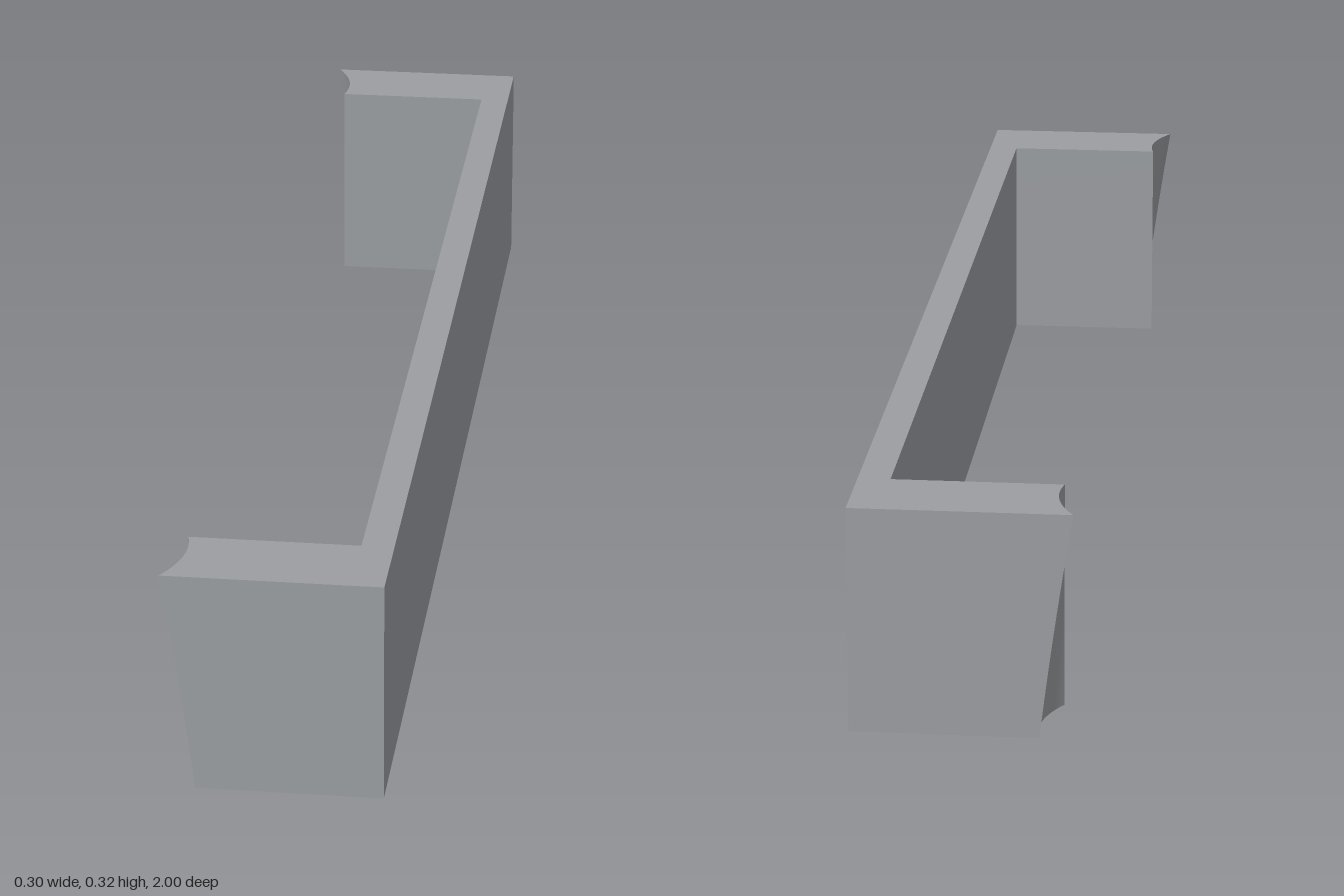
import * as THREE from 'three';
import { toCreasedNormals } from 'three/addons/utils/BufferGeometryUtils.js';

const HEIGHT = 0.32;
const OUTER_X = 0.152; // flat outer face of the panel
const PANEL = 0.045; // panel thickness
const LEG = 0.122; // leg thickness along z

// x of the hollow leg tip: u runs 0 (outer edge) to 1 (inner edge), v from bottom to top
function tipX(u, v) {
  const outer = -0.107 - 0.045 * v + 0.008 * v * (1 - v);
  const inner = -0.13;
  return outer + (inner - outer) * u + 0.013 * 4 * u * (1 - u);
}

// Leg block whose free end is scooped out by the tip rule
function legGeometry(side) {
  const geometry = new THREE.BoxGeometry(1, HEIGHT, LEG, 1, 10, 16);
  geometry.translate(0, HEIGHT / 2, side * (1 - LEG / 2));
  const p = geometry.attributes.position;
  for (let i = 0; i < p.count; i++) {
    const u = (1 - Math.abs(p.getZ(i))) / LEG;
    const v = p.getY(i) / HEIGHT;
    p.setX(i, p.getX(i) < 0 ? tipX(u, v) : OUTER_X);
  }
  return toCreasedNormals(geometry, Math.PI / 6);
}

export function createModel() {
  const group = new THREE.Group();
  group.name = 'bracket';
  const grey = new THREE.MeshStandardMaterial({ color: 0x9b9ea2 });
  grey.name = 'grey';

  // Long panel between the legs
  const panel = new THREE.Mesh(new THREE.BoxGeometry(PANEL, HEIGHT, 2 - 2 * LEG), grey);
  panel.name = 'panel';
  panel.position.set(OUTER_X - PANEL / 2, HEIGHT / 2, 0);
  group.add(panel);

  // Mirrored end legs
  for (const side of [1, -1]) {
    const leg = new THREE.Mesh(legGeometry(side), grey);
    leg.name = side > 0 ? 'frontLeg' : 'backLeg';
    group.add(leg);
  }
  return group;
}
